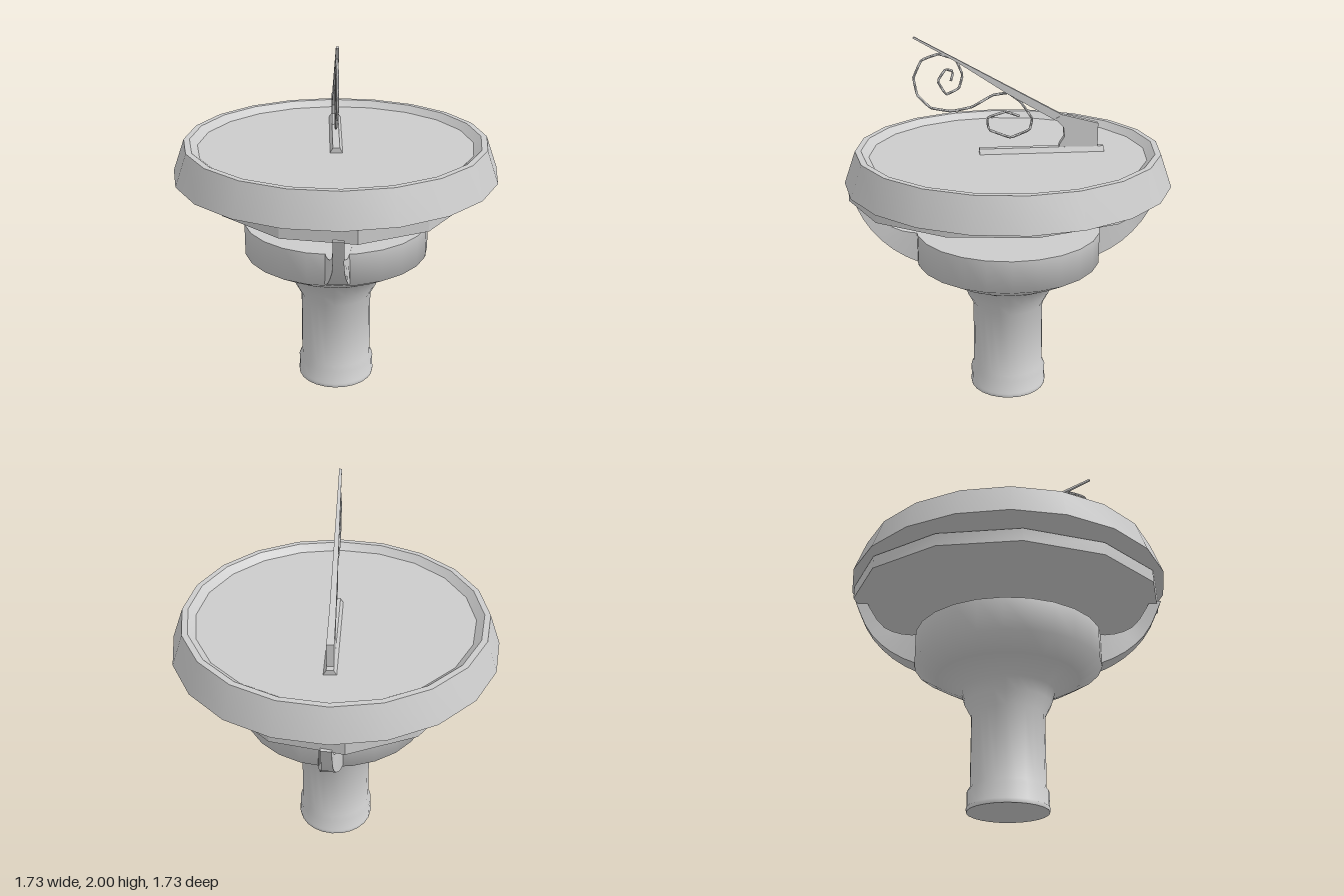
import * as THREE from 'three';
import { toCreasedNormals } from 'three/addons/utils/BufferGeometryUtils.js';

const material = new THREE.MeshStandardMaterial({ color: 0xcccccc });
const AXIS = THREE.MathUtils.degToRad(42); // heading shared by the pointer and the arms

function part(name, geometry, crease = 0.5) {
  const mesh = new THREE.Mesh(toCreasedNormals(geometry, crease), material);
  mesh.name = name;
  return mesh;
}

function lathe(name, profile, sides, crease) {
  const points = profile.map(([r, y]) => new THREE.Vector2(r, y));
  return part(name, new THREE.LatheGeometry(points, sides), crease);
}

// Upright slab in the local xy plane, thinning from one width to another along x
function slab(name, points, startWidth, endWidth) {
  const shape = new THREE.Shape(points.map(([x, y]) => new THREE.Vector2(x, y)));
  const geometry = new THREE.ExtrudeGeometry(shape, { depth: 1, bevelEnabled: false });
  geometry.translate(0, 0, -0.5);
  const pos = geometry.attributes.position;
  const first = points[0][0];
  const last = Math.max(...points.map(([x]) => x));
  for (let i = 0; i < pos.count; i++) {
    const t = THREE.MathUtils.clamp((pos.getX(i) - first) / (last - first), 0, 1);
    pos.setZ(i, pos.getZ(i) * THREE.MathUtils.lerp(startWidth, endWidth, t));
  }
  return part(name, geometry);
}

// Curved arm between an outer and an inner profile, narrowing towards its top
function arm() {
  const curve = (pts) => new THREE.SplineCurve(pts.map(([x, y]) => new THREE.Vector2(x, y)));
  const outer = curve([[0.42, 0.76], [0.61, 0.85], [0.755, 0.99], [0.845, 1.18]]);
  const inner = curve([[0.42, 0.962], [0.56, 0.965], [0.69, 1.03], [0.785, 1.18]]);
  const geometry = new THREE.BoxGeometry(1, 1, 1, 8, 1, 1);
  const pos = geometry.attributes.position;
  for (let i = 0; i < pos.count; i++) {
    const t = pos.getX(i) + 0.5;
    const p = (pos.getY(i) > 0 ? inner : outer).getPoint(t);
    const width = THREE.MathUtils.lerp(0.15, 0.055, Math.min(1, t * 1.5));
    pos.setXYZ(i, p.x, p.y, pos.getZ(i) * width);
  }
  return part('supportArm', geometry);
}

function createPointer() {
  const pointer = new THREE.Group();
  pointer.name = 'pointer';

  // Sloped foot plate
  const foot = new THREE.BoxGeometry(0.665, 0.04, 0.08);
  const pos = foot.attributes.position;
  for (let i = 0; i < pos.count; i++) {
    if (pos.getY(i) > 0) pos.setZ(i, pos.getZ(i) * 0.45);
  }
  foot.translate(-0.18, 1.385, 0);
  pointer.add(part('pointerFoot', foot));

  // Upright block with a hollowed front edge
  pointer.add(slab('pointerBlock', [
    [-0.48, 1.37], [-0.265, 1.37], [-0.275, 1.42], [-0.3, 1.46],
    [-0.295, 1.51], [-0.25, 1.56], [-0.29, 1.58], [-0.48, 1.53],
  ], 0.038, 0.034));

  // Slanting blade
  pointer.add(slab('pointerBlade', [
    [-0.3, 1.572], [-0.26, 1.545], [0, 1.695], [0.26, 1.865], [0.485, 1.993], [0.478, 2.0], [0.25, 1.875],
  ], 0.034, 0.014));

  // Scrollwork below the blade
  const path = [
    [0.22, 1.77], [0.21, 1.82], [0.24, 1.83], [0.27, 1.77], [0.24, 1.7], [0.19, 1.73],
    [0.175, 1.8], [0.2, 1.88], [0.265, 1.91], [0.33, 1.88], [0.362, 1.79], [0.35, 1.7],
    [0.3, 1.63], [0.22, 1.61], [0.14, 1.63], [0.06, 1.69], [0, 1.70], [-0.05, 1.65],
    [-0.095, 1.56], [-0.085, 1.5], [-0.01, 1.46], [0.075, 1.505], [0.08, 1.57], [0.01, 1.6], [-0.045, 1.575],
  ].map(([x, y]) => new THREE.Vector3(x / Math.cos(AXIS), y, 0));
  const scroll = new THREE.CatmullRomCurve3(path, false, 'catmullrom', 0.1);
  pointer.add(part('scroll', new THREE.TubeGeometry(scroll, 110, 0.007, 6), 1.2));

  pointer.rotation.y = -AXIS;
  return pointer;
}

export function createModel() {
  const model = new THREE.Group();
  model.name = 'sundial';

  // Column with a footing, flaring through its neck into the bowl
  model.add(lathe('pedestal', [
    [0, 0], [0.212, 0], [0.215, 0.02], [0.21, 0.025], [0.212, 0.1], [0.196, 0.125], [0.195, 0.51],
    [0.232, 0.58], [0.25, 0.645], [0.385, 0.715], [0.505, 0.785], [0.505, 0.96], [0, 0.96],
  ], 24, 1.25));

  // Two opposite arms
  for (const turn of [0, Math.PI]) {
    const mesh = arm();
    mesh.rotation.y = turn - AXIS;
    model.add(mesh);
  }

  // Plate carried by the arms, slightly longer along them
  const plate = new THREE.CylinderGeometry(1, 1, 0.07, 12);
  plate.scale(0.85, 1, 0.71).translate(0, 1.2, 0);
  const plateMesh = part('supportPlate', plate);
  plateMesh.rotation.y = THREE.MathUtils.degToRad(-36);
  model.add(plateMesh);

  // Dial dish with a raised rim
  const dial = lathe('dial', [
    [0, 1.24], [0.868, 1.24], [0.806, 1.412], [0.775, 1.412], [0.735, 1.378], [0, 1.378],
  ], 20);
  dial.rotation.y = THREE.MathUtils.degToRad(-5);
  model.add(dial);

  model.add(createPointer());
  return model;
}
